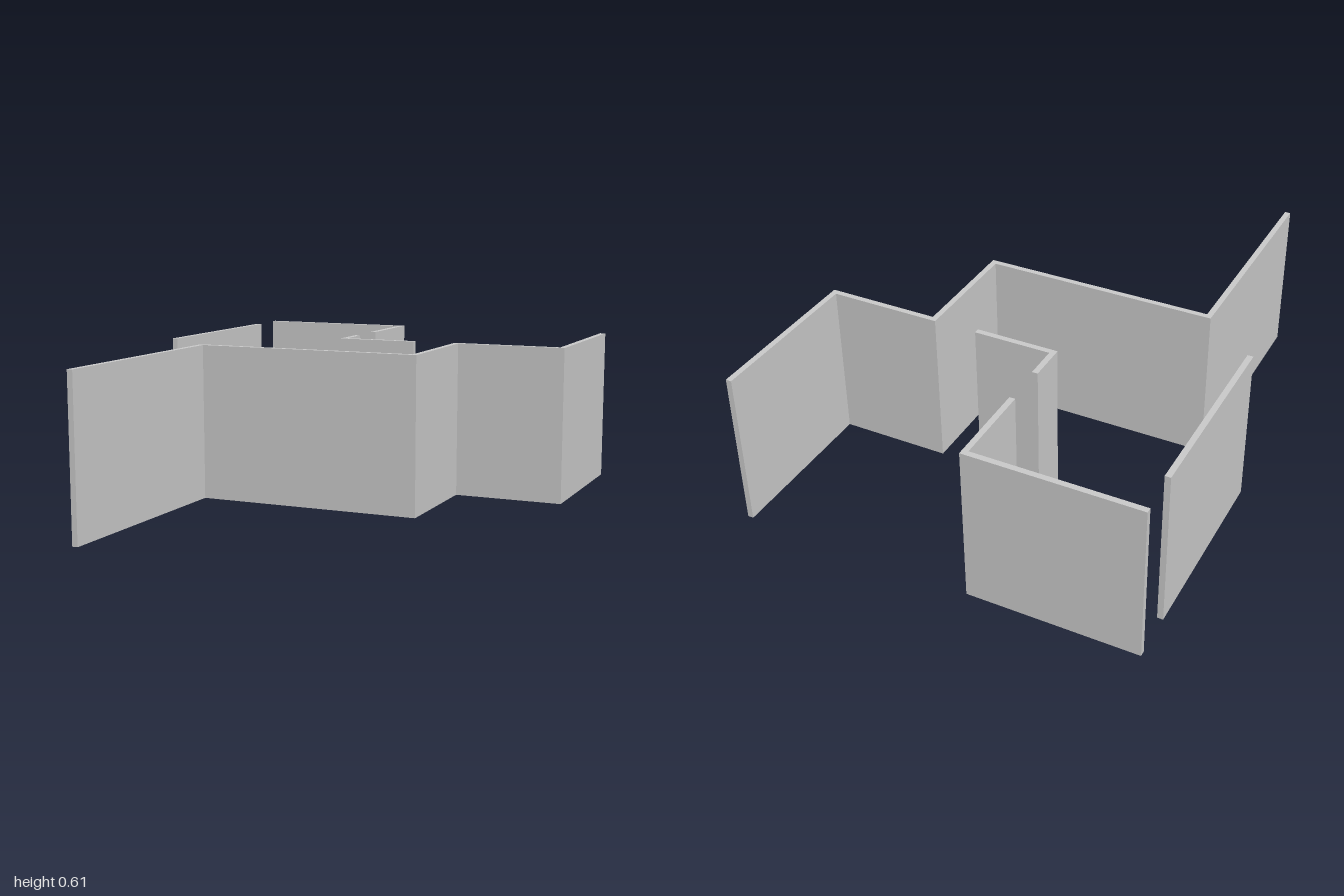
import * as THREE from 'three';

const HEIGHT = 0.61;
const HALF = 0.011; // half the wall thickness

// Wall run: a right-angled centreline of [x, z] points, thickened with mitred corners
function wallRun(name, path, material) {
  const points = path.map(([x, z]) => new THREE.Vector2(x, -z));
  const normals = points.slice(1).map((p, i) => {
    const d = p.clone().sub(points[i]).normalize();
    return new THREE.Vector2(-d.y, d.x);
  });
  const side = (sign) => points.map((p, i) => {
    const offset = new THREE.Vector2();
    if (i > 0) offset.add(normals[i - 1]);
    if (i < normals.length) offset.add(normals[i]);
    return p.clone().addScaledVector(offset, sign * HALF);
  });
  const shape = new THREE.Shape([...side(1), ...side(-1).reverse()]);
  const geometry = new THREE.ExtrudeGeometry(shape, { depth: HEIGHT, bevelEnabled: false });
  geometry.rotateX(-Math.PI / 2);
  const mesh = new THREE.Mesh(geometry, material);
  mesh.name = name;
  return mesh;
}

export function createModel() {
  const group = new THREE.Group();
  group.name = 'floorPlanWalls';
  const material = new THREE.MeshStandardMaterial({ color: 0xcccccc });

  const runs = {
    // long stepped wall from the front to the back left
    steppedWall: [[-0.549, 1], [-0.549, 0.109], [0.343, 0.109], [0.343, -0.352], [0.773, -0.352], [0.773, -1]],
    // back wall and its return
    backCornerWall: [[-0.785, -0.989], [-0.144, -0.989], [-0.144, -0.66]],
    // short inner corner between the door openings
    innerCornerWall: [[-0.144, -0.495], [-0.144, -0.352], [0.165, -0.352]],
    // free-standing wall on the right
    rightWall: [[-0.774, -0.816], [-0.774, -0.067]],
  };
  for (const [name, path] of Object.entries(runs)) group.add(wallRun(name, path, material));
  return group;
}
